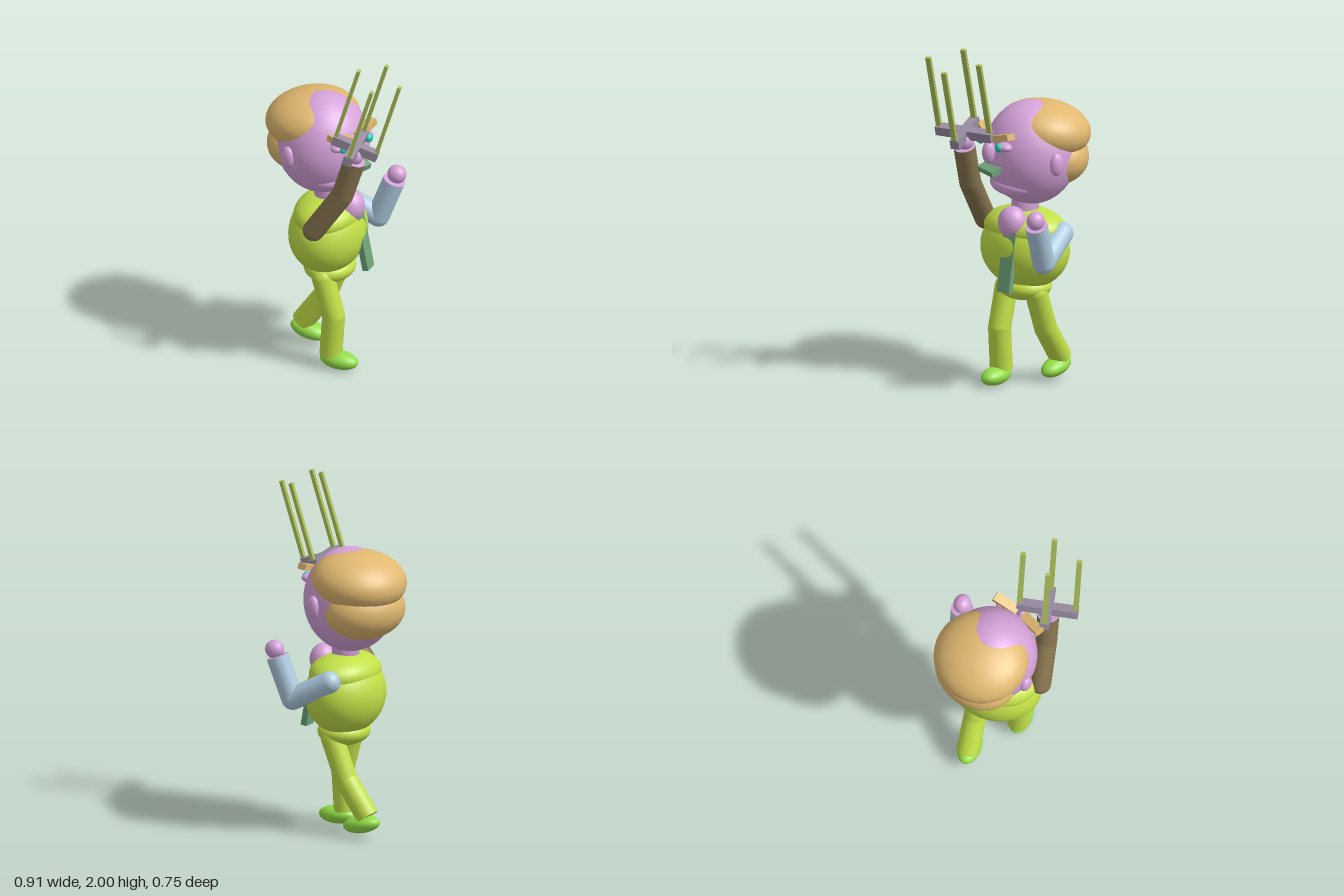
import * as THREE from 'three';

const mat = (name, color) => {
  const m = new THREE.MeshStandardMaterial({ color });
  m.name = name;
  return m;
};

export function createModel() {
  const pink = mat('pink skin', 0xd6a3da);
  const tan = mat('tan hair', 0xe0b870);
  const lime = mat('lime suit', 0xc2e048);
  const shoe = mat('green shoe', 0x94de48);
  const brown = mat('brown sleeve', 0x85734e);
  const blue = mat('blue sleeve', 0xafcbe0);
  const grey = mat('mauve grey', 0x9a8da2);
  const olive = mat('olive pole', 0xaec25c);
  const green = mat('muted green', 0x70a47a);
  const teal = mat('teal iris', 0x26ccb2);

  const model = new THREE.Group();
  model.name = 'figure';
  const V = (x, y, z) => new THREE.Vector3(x, y, z);

  const add = (parent, name, geo, material, p) => {
    const mesh = new THREE.Mesh(geo, material);
    mesh.name = name;
    mesh.position.set(...p);
    parent.add(mesh);
    return mesh;
  };
  const ball = (parent, name, material, p, r) => {
    const geo = new THREE.SphereGeometry(1, 40, 28).scale(...r);
    return add(parent, name, geo, material, p);
  };
  const box = (parent, name, material, p, s) => add(parent, name, new THREE.BoxGeometry(...s), material, p);
  const rod = (parent, name, material, a, b, r) => {
    const geo = new THREE.CylinderGeometry(r, r, a.distanceTo(b), 28);
    const mid = a.clone().add(b).multiplyScalar(0.5);
    const mesh = add(parent, name, geo, material, mid.toArray());
    mesh.quaternion.setFromUnitVectors(V(0, 1, 0), b.clone().sub(a).normalize());
  };
  // Two straight segments with round joints at the root and the bend
  const limb = (name, material, endMaterial, a, b, c, r) => {
    const g = new THREE.Group();
    g.name = name;
    model.add(g);
    rod(g, name + 'Upper', material, a, b, r);
    rod(g, name + 'Lower', [material, endMaterial, material], b, c, r);
    for (const p of [a, b]) ball(g, name + 'Joint', material, p.toArray(), [r, r, r]);
  };

  // Torso
  ball(model, 'belly', lime, [-0.08, 0.805, -0.03], [0.216, 0.235, 0.27]);
  ball(model, 'shoulders', lime, [-0.078, 0.93, -0.03], [0.187, 0.115, 0.252]);
  ball(model, 'hips', lime, [-0.07, 0.585, -0.03], [0.146, 0.08, 0.162]);
  ball(model, 'collarChest', pink, [0.056, 0.985, -0.04], [0.078, 0.093, 0.085]);
  rod(model, 'neck', pink, V(-0.075, 0.98, -0.03), V(-0.09, 1.14, -0.03), 0.078);
  box(model, 'tie', green, [0.118, 0.79, -0.057], [0.036, 0.39, 0.084]).rotation.z = 0.192;

  // Legs and feet
  limb('frontLeg', lime, lime, V(-0.06, 0.56, 0.086), V(0.005, 0.33, 0.086), V(-0.012, 0.085, 0.086), 0.065);
  limb('backLeg', lime, lime, V(-0.05, 0.56, -0.129), V(-0.14, 0.33, -0.129), V(-0.28, 0.13, -0.129), 0.065);
  ball(model, 'frontFoot', shoe, [0.038, 0.056, 0.086], [0.115, 0.052, 0.066]).rotation.z = -0.03;
  ball(model, 'backFoot', shoe, [-0.24, 0.082, -0.129], [0.115, 0.05, 0.066]).rotation.z = -0.2;

  // Arms and hands, the sleeves open on pink wrists
  limb('raisedArm', brown, pink, V(-0.055, 0.935, 0.228), V(0.115, 1.19, 0.21), V(0.185, 1.42, 0.2), 0.062);
  ball(model, 'raisedHand', pink, [0.185, 1.455, 0.198], [0.052, 0.055, 0.052]);
  limb('bentArm', blue, pink, V(-0.11, 0.92, -0.265), V(0.11, 0.805, -0.297), V(0.2, 1.045, -0.313), 0.064);
  ball(model, 'bentHand', pink, [0.215, 1.083, -0.317], [0.055, 0.054, 0.05]);

  // Head: local +x is the way the face looks
  const head = new THREE.Group();
  head.name = 'head';
  head.position.set(-0.12, 1.36, -0.045);
  head.rotation.y = -0.4;
  model.add(head);
  ball(head, 'skull', pink, [0, 0, 0], [0.265, 0.298, 0.265]);
  ball(head, 'muzzle', pink, [0.075, -0.165, 0], [0.165, 0.077, 0.185]);
  ball(head, 'nose', pink, [0.28, 0.04, 0], [0.04, 0.067, 0.036]);
  ball(head, 'topHair', tan, [-0.082, 0.122, 0], [0.264, 0.166, 0.272]).rotation.z = 0.15;
  ball(head, 'backHair', tan, [-0.125, -0.035, 0], [0.205, 0.172, 0.25]);
  box(head, 'moustache', green, [0.275, -0.06, -0.005], [0.07, 0.035, 0.155]).rotation.z = -0.35;
  for (const s of [-1, 1]) {
    ball(head, 'ear', pink, [-0.005, -0.01, s * 0.265], [0.042, 0.067, 0.03]);
    ball(head, 'eye', pink, [0.24, 0.09, s * 0.105], [0.04, 0.027, 0.05]);
    ball(head, 'iris', teal, [0.274, 0.09, s * 0.099], [0.021, 0.026, 0.026]);
    const brow = box(head, 'eyebrow', tan, [0.248, 0.143, s * 0.095], [0.055, 0.036, 0.15]);
    brow.rotation.set(-s * 0.28, -s * 0.18, 0);
  }

  // Upturned cross frame with four poles, held in the raised hand
  const frame = new THREE.Group();
  frame.name = 'crossFrame';
  frame.position.set(0.187, 1.503, 0.195);
  frame.rotation.set(0, 0.152, -0.295, 'YXZ');
  model.add(frame);
  box(frame, 'longBar', grey, [0, 0, 0], [0.055, 0.055, 0.35]);
  box(frame, 'shortBar', grey, [0, 0, 0], [0.27, 0.054, 0.054]);
  for (const [x, z] of [[0.124, 0], [-0.124, 0], [0, 0.16], [0, -0.16]]) {
    box(frame, 'pole', olive, [x, 0.25, z], [0.02, 0.46, 0.03]);
  }
  return model;
}
